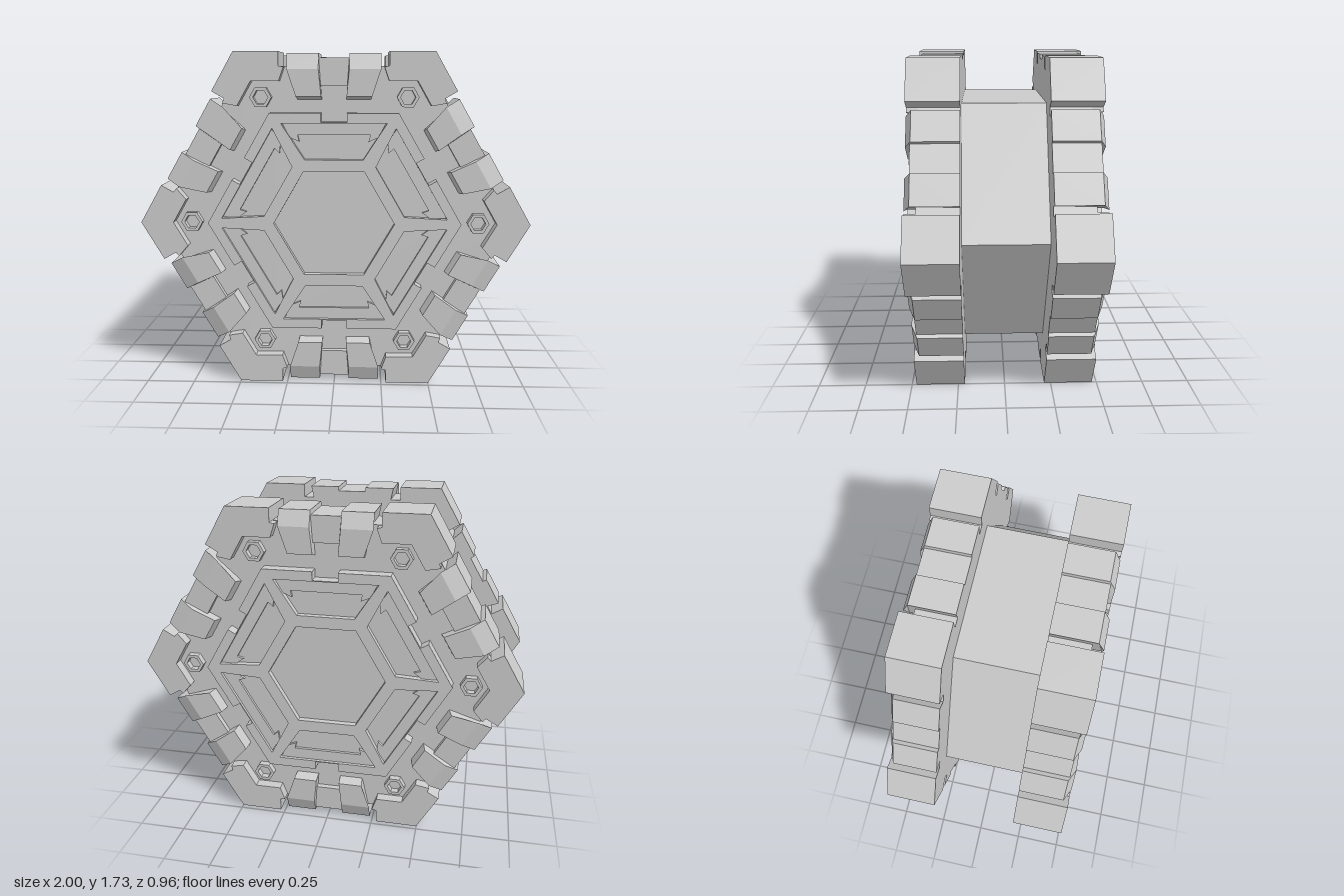
import * as THREE from 'three';

const material = new THREE.MeshStandardMaterial({ color: 0xcccccc, flatShading: true });
const DEG60 = Math.PI / 3;
const COS30 = Math.cos(Math.PI / 6);

const vectors = (points) => points.map(([x, y]) => new THREE.Vector2(x, y));
const turn = ([x, y], a) => [x * Math.cos(a) - y * Math.sin(a), x * Math.sin(a) + y * Math.cos(a)];
const hexagon = (r) => Array.from({ length: 6 }, (_, i) => turn([r, 0], i * DEG60));

// Flat outline (with optional holes) extruded between two z levels
function slab(name, points, z0, z1, holes = []) {
  const shape = new THREE.Shape(vectors(points));
  holes.forEach((h) => shape.holes.push(new THREE.Path(vectors(h))));
  const geometry = new THREE.ExtrudeGeometry(shape, { depth: z1 - z0, bevelEnabled: false });
  geometry.translate(0, 0, z0);
  const mesh = new THREE.Mesh(geometry, material);
  mesh.name = name;
  return mesh;
}

// Rim pad: chamfered section swept across x, narrowing towards the middle
function rimPad(side) {
  const section = [[0.63, 0.215], [0.858, 0.215], [0.858, 0.445], [0.78, 0.477], [0.645, 0.477], [0.63, 0.42]];
  const geometry = new THREE.ExtrudeGeometry(new THREE.Shape(vectors(section)), { depth: 1, bevelEnabled: false });
  const p = geometry.attributes.position;
  for (let i = 0; i < p.count; i++) {
    const y = p.getX(i), z = p.getY(i), t = p.getZ(i);
    const k = THREE.MathUtils.clamp((y - 0.63) / 0.15, 0, 1);
    const near = 0.062 + 0.015 * k, far = 0.185 + 0.05 * k;
    const x = side > 0 ? near + (far - near) * t : -far + (far - near) * t;
    p.setXYZ(i, x, y, z);
  }
  geometry.computeVertexNormals();
  const mesh = new THREE.Mesh(geometry, material);
  mesh.name = 'rimPad';
  return mesh;
}

// Corner block outline, mirrored about the 60 degree corner axis
function cornerOutline() {
  const half = [[0.275, 0.866], [0.275, 0.795], [0.25, 0.79], [0.275, 0.72], [0.416, 0.72]];
  const c = Math.cos(2 * DEG60), s = Math.sin(2 * DEG60);
  const mirrored = half.slice(0, 4).reverse().map(([x, y]) => [x * c + y * s, x * s - y * c]);
  return [[0.5, 0.866], ...half, ...mirrored];
}

// Everything that repeats on each of the six sides
function sector() {
  const group = new THREE.Group();
  group.name = 'sector';
  group.add(slab('cornerBlock', cornerOutline(), 0.215, 0.475));
  group.add(rimPad(1), rimPad(-1));
  group.add(slab('rimCentre', [[-0.08, 0.7], [0.08, 0.7], [0.08, 0.835], [-0.08, 0.835]], 0.215, 0.45));

  // Hooked bracket inside the panel recess
  const bracket = [[-0.262, 0.513], [-0.222, 0.44], [-0.175, 0.42], [-0.183, 0.454],
    [0.183, 0.454], [0.175, 0.42], [0.222, 0.44], [0.262, 0.513]];
  group.add(slab('bracket', bracket, 0.44, 0.465));

  // Hexagonal bolt with a socket
  const bolt = slab('bolt', hexagon(0.056), 0.41, 0.455, [hexagon(0.038)]);
  bolt.position.set(0.74 * Math.cos(DEG60), 0.74 * Math.sin(DEG60), 0);
  bolt.rotation.z = DEG60;
  group.add(bolt);
  return group;
}

function endPlate() {
  const plate = new THREE.Group();
  plate.name = 'endPlate';
  plate.add(slab('plateBody', hexagon(0.795 / COS30), 0.215, 0.42));

  // Raised panel with edge notches, six recesses and a sunken centre
  const outline = [], holes = [hexagon(0.31)];
  const recess = [[-0.267, 0.515], [0.267, 0.515], [0.148, 0.33], [-0.148, 0.33]];
  const edge = [[0.325, 0.563], [0.065, 0.563], [0.065, 0.518], [-0.065, 0.518], [-0.065, 0.563]];
  // Recesses stop just short of the notches
  recess[0][1] = recess[1][1] = 0.513;
  for (let i = 0; i < 6; i++) {
    const a = i * DEG60;
    outline.push(...edge.map((q) => turn(q, a)));
    holes.push(recess.map((q) => turn(q, a)));
    const s = sector();
    s.rotation.z = a;
    plate.add(s);
  }
  plate.add(slab('panelFrame', outline, 0.42, 0.482, holes));
  plate.add(slab('panelFloor', hexagon(0.59), 0.41, 0.45));
  return plate;
}

export function createModel() {
  const model = new THREE.Group();
  model.name = 'hexagonalContainer';
  const body = new THREE.Group();
  body.name = 'body';
  body.position.y = 0.866;
  body.add(slab('core', hexagon(0.733), -0.22, 0.22));
  for (const angle of [0, Math.PI]) {
    const plate = endPlate();
    plate.rotation.y = angle;
    body.add(plate);
  }
  model.add(body);
  return model;
}
